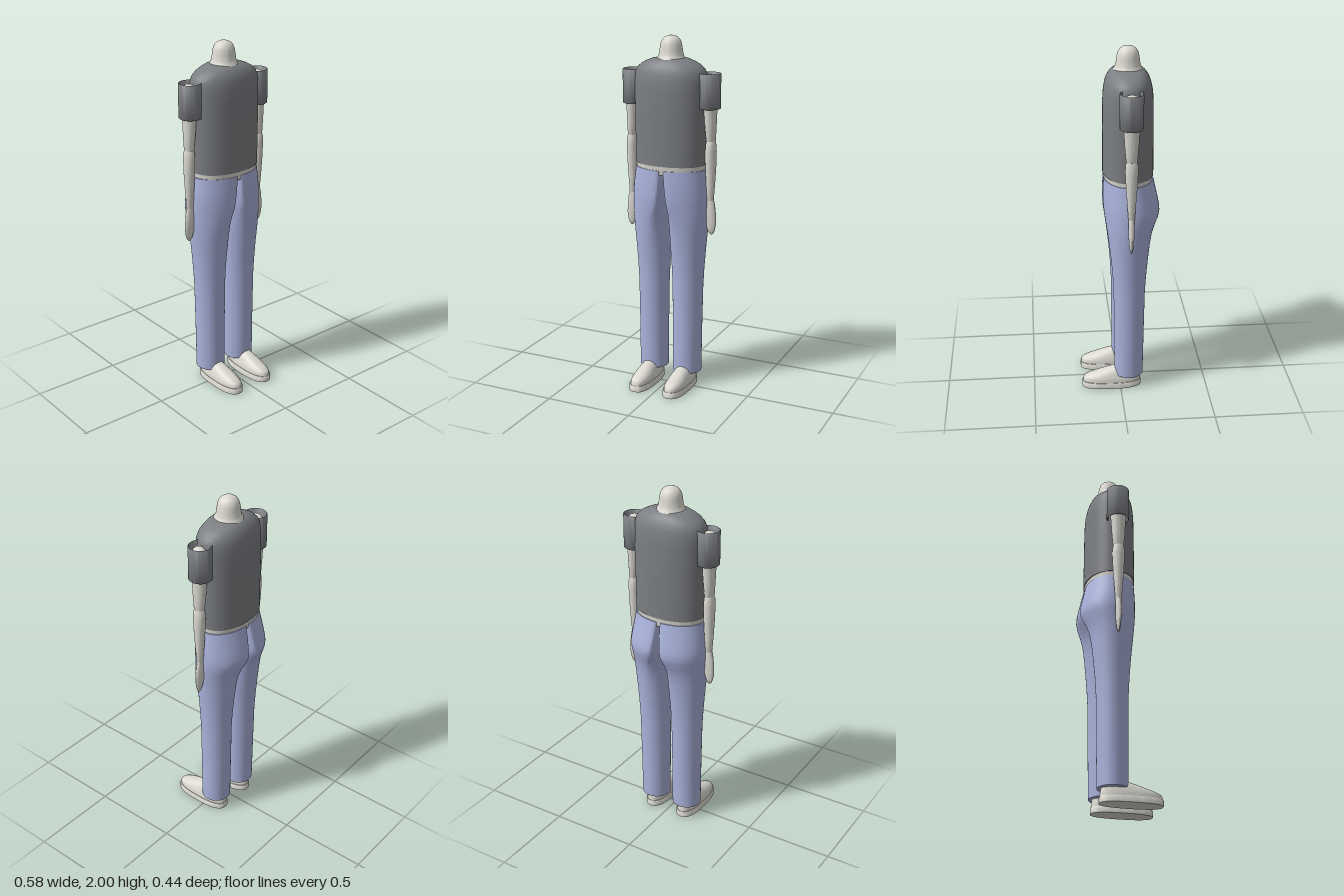
import * as THREE from 'three';
import { toCreasedNormals } from 'three/addons/utils/BufferGeometryUtils.js';

const mat = (name, color) => {
  const m = new THREE.MeshStandardMaterial({ color });
  m.name = name;
  return m;
};

// Loft of stacked rings. Section: [y, inner x, x of deepest point, outer x, back z, front z]
function loft(sections, side = 1, power = 2, n = 40) {
  const pos = [], index = [];
  const tri = (a, b, c) => (side > 0 ? index.push(a, b, c) : index.push(a, c, b));
  const bend = (v) => Math.sign(v) * Math.pow(Math.abs(v), 2 / power);
  for (const [y, xi, xm, xo, zb, zf] of sections) {
    for (let i = 0; i < n; i++) {
      const t = (i / n) * Math.PI * 2;
      const c = bend(Math.cos(t)), s = bend(Math.sin(t));
      const x = xm + c * (c > 0 ? xo - xm : xm - xi);
      pos.push(side * x, y, (zb + zf) / 2 + (s * (zf - zb)) / 2);
    }
  }
  for (let r = 0; r < sections.length - 1; r++) {
    for (let i = 0; i < n; i++) {
      const a = r * n + i, b = r * n + ((i + 1) % n);
      tri(a, a + n, b);
      tri(b, a + n, b + n);
    }
  }
  // End caps
  [0, sections.length - 1].forEach((r, top) => {
    const [y, xi, , xo, zb, zf] = sections[r];
    const centre = pos.length / 3;
    pos.push((side * (xi + xo)) / 2, y, (zb + zf) / 2);
    for (let i = 0; i < n; i++) {
      const a = r * n + i, b = r * n + ((i + 1) % n);
      top ? tri(centre, b, a) : tri(centre, a, b);
    }
  });
  const g = new THREE.BufferGeometry();
  g.setAttribute('position', new THREE.Float32BufferAttribute(pos, 3));
  g.setIndex(index);
  return toCreasedNormals(g, 0.8);
}

// Symmetric section about a centre
const oval = (y, cx, cz, rx, rz) => [y, cx - rx, cx, cx + rx, cz - rz, cz + rz];

export function createModel() {
  const model = new THREE.Group();
  const shirt = mat('shirt grey', 0x7b7e82);
  const denim = mat('trouser blue', 0xaab3dc);
  const pale = mat('pale body', 0xdad8d0);
  const add = (name, geometry, material) => {
    const m = new THREE.Mesh(geometry, material);
    m.name = name;
    model.add(m);
    return m;
  };
  const Z = -0.05;

  // Shirt body with sloping shoulders
  add('shirt', loft([
    oval(1.3, 0, Z, 0.203, 0.139), oval(1.4, 0, Z, 0.204, 0.138),
    oval(1.55, 0, Z, 0.206, 0.138), oval(1.7, 0, Z, 0.207, 0.136),
    oval(1.76, 0, Z, 0.207, 0.132), oval(1.8, 0, Z, 0.204, 0.125),
    oval(1.825, 0, Z, 0.192, 0.117), oval(1.845, 0, Z, 0.17, 0.107),
    oval(1.86, 0, Z, 0.142, 0.096), oval(1.873, 0, Z, 0.108, 0.083),
    oval(1.88, 0, Z, 0.075, 0.068),
  ], 1, 2.15, 64), shirt);

  // Strip of waist under the hem
  add('waist', loft([oval(1.25, 0, Z, 0.197, 0.13), oval(1.305, 0, Z, 0.2, 0.135)], 1, 2.15, 64), pale);

  // Neck with rounded top
  add('neck', loft([
    [1.86, 0.085], [1.876, 0.079], [1.887, 0.071], [1.9, 0.066], [1.93, 0.062], [1.955, 0.058],
    [1.972, 0.052], [1.985, 0.042], [1.994, 0.028], [1.999, 0.012], [2.0, 0.002],
  ].map(([y, r]) => oval(y, 0, Z, r, r)), 1, 2, 48), pale);

  for (const side of [1, -1]) {
    const tag = side > 0 ? 'left' : 'right';

    // Trouser leg, flat against its twin down to the crotch
    add(tag + 'TrouserLeg', loft([
      [0.08, 0.022, 0.104, 0.187, -0.132, 0.032],
      [0.35, 0.021, 0.104, 0.189, -0.136, 0.034],
      [0.6, 0.018, 0.104, 0.193, -0.14, 0.036],
      [0.7, 0.014, 0.103, 0.198, -0.146, 0.041],
      [0.8, 0.008, 0.1, 0.205, -0.155, 0.049],
      [0.9, 0.003, 0.094, 0.214, -0.166, 0.06],
      [0.97, 0.001, 0.083, 0.22, -0.178, 0.069],
      [1.02, 0, 0.068, 0.224, -0.196, 0.076],
      [1.06, 0, 0.05, 0.227, -0.215, 0.082],
      [1.09, 0, 0.04, 0.228, -0.222, 0.086],
      [1.12, 0, 0.034, 0.227, -0.22, 0.088],
      [1.17, 0, 0.026, 0.222, -0.21, 0.089],
      [1.22, 0, 0.02, 0.214, -0.199, 0.088],
      [1.275, 0, 0.016, 0.206, -0.187, 0.085],
    ], side, 2, 48), denim);

    // Open sleeve tube with wall thickness
    const wall = [[0.057, 1.62], [0.06, 1.617], [0.063, 1.62], [0.063, 1.805],
      [0.06, 1.808], [0.057, 1.805], [0.057, 1.62]];
    const sleeve = add(tag + 'Sleeve', toCreasedNormals(
      new THREE.LatheGeometry(wall.map(([x, y]) => new THREE.Vector2(x, y)), 40), 0.8), shirt);
    sleeve.position.set(side * 0.226, 0, Z);

    // Arm
    add(tag + 'UpperArm', loft([
      oval(1.43, 0.238, Z, 0.022, 0.026), oval(1.445, 0.238, Z, 0.026, 0.031),
      oval(1.52, 0.236, Z, 0.031, 0.037), oval(1.62, 0.234, Z, 0.036, 0.043),
      oval(1.7, 0.233, Z, 0.039, 0.048), oval(1.75, 0.233, Z, 0.038, 0.047),
      oval(1.78, 0.233, Z, 0.031, 0.038), oval(1.797, 0.233, Z, 0.019, 0.023),
      oval(1.803, 0.233, Z, 0.003, 0.003),
    ], side, 2, 28), pale);
    add(tag + 'Forearm', loft([
      oval(1.09, 0.238, Z, 0.014, 0.011), oval(1.11, 0.238, Z, 0.02, 0.017),
      oval(1.2, 0.239, Z, 0.025, 0.024), oval(1.3, 0.239, Z, 0.03, 0.031),
      oval(1.38, 0.239, Z, 0.031, 0.035), oval(1.42, 0.239, Z, 0.029, 0.034),
      oval(1.44, 0.239, Z, 0.024, 0.028),
    ], side, 2, 28), pale);
    add(tag + 'Hand', loft([
      oval(0.91, 0.246, Z, 0.003, 0.002), oval(0.918, 0.246, Z, 0.013, 0.006),
      oval(0.94, 0.245, Z, 0.023, 0.01), oval(0.98, 0.243, Z, 0.031, 0.014),
      oval(1.03, 0.241, Z, 0.031, 0.017), oval(1.08, 0.24, Z, 0.026, 0.017),
      oval(1.12, 0.239, Z, 0.018, 0.014),
    ], side, 2, 28), pale);

    // Shoe: flat sole and an upper sloping down to the toe
    add(tag + 'Sole', loft([
      [0, 0.04, 0.105, 0.17, -0.12, 0.22], [0.031, 0.04, 0.105, 0.17, -0.12, 0.22],
      [0.035, 0.043, 0.105, 0.167, -0.118, 0.217],
    ], side, 2.6, 48), pale);
    add(tag + 'Shoe', loft([
      [0.03, 0.045, 0.105, 0.165, -0.117, 0.216], [0.05, 0.047, 0.105, 0.163, -0.116, 0.215],
      [0.062, 0.05, 0.105, 0.16, -0.114, 0.205], [0.075, 0.055, 0.105, 0.155, -0.112, 0.175],
      [0.09, 0.061, 0.105, 0.149, -0.11, 0.13], [0.105, 0.069, 0.105, 0.141, -0.106, 0.085],
      [0.117, 0.08, 0.105, 0.13, -0.1, 0.047], [0.124, 0.094, 0.105, 0.116, -0.09, 0.02],
    ], side, 2.4, 48), pale);
  }
  return model;
}
